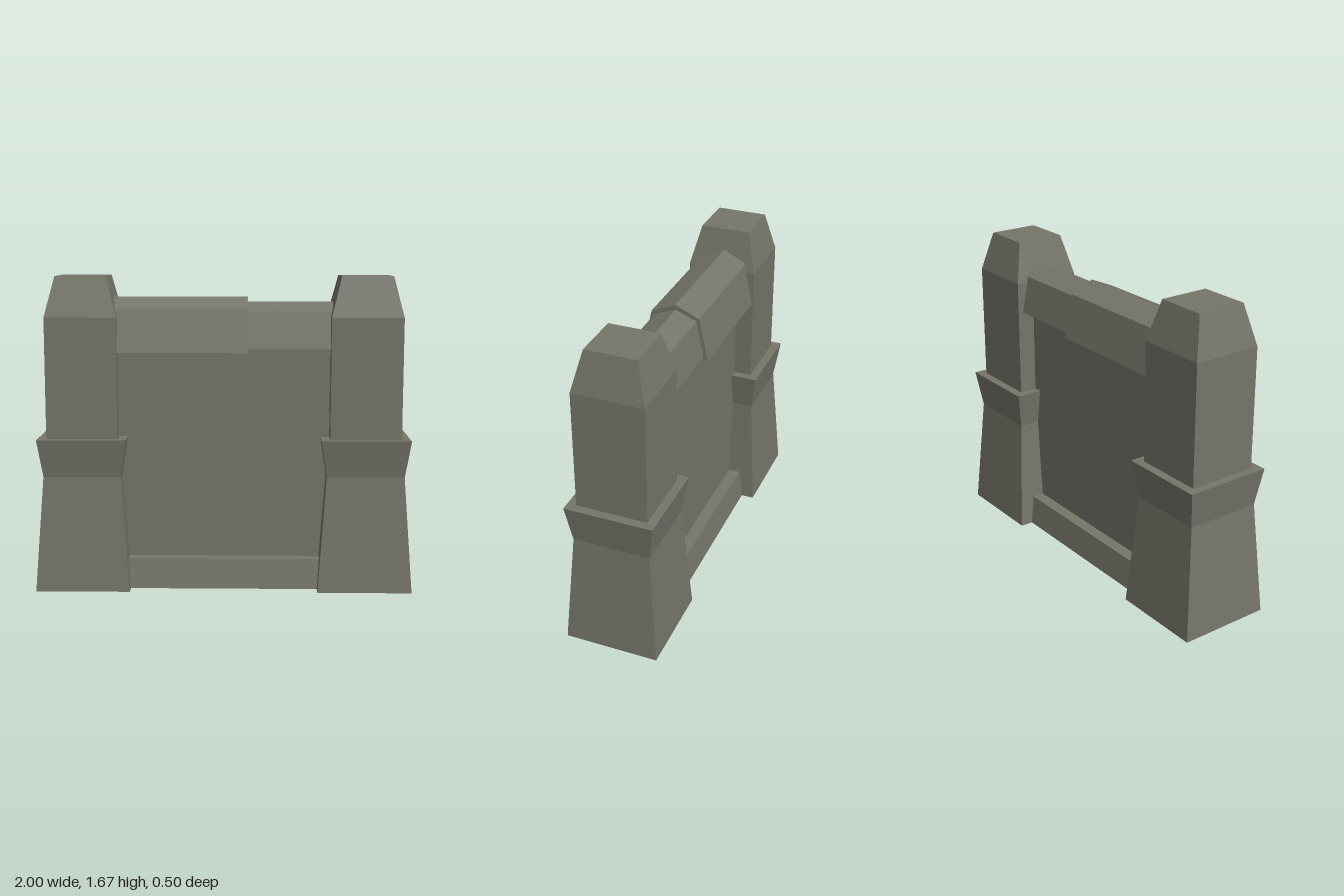
import * as THREE from 'three';

const stone = new THREE.MeshStandardMaterial({ color: 0x76756a, side: THREE.DoubleSide, flatShading: true });
stone.name = 'stone';

// Stack of rectangular rings [y, halfX, halfZ], closed at the top and open below
function taperedBlock(name, rings) {
  const pos = [], index = [];
  for (const [y, hx, hz] of rings) {
    pos.push(-hx, y, hz, hx, y, hz, hx, y, -hz, -hx, y, -hz);
  }
  for (let r = 0; r < rings.length - 1; r++) {
    for (let i = 0; i < 4; i++) {
      const a = r * 4 + i, b = r * 4 + (i + 1) % 4;
      index.push(a, b, b + 4, a, b + 4, a + 4);
    }
  }
  const t = (rings.length - 1) * 4;
  index.push(t, t + 1, t + 2, t, t + 2, t + 3);
  const indexed = new THREE.BufferGeometry();
  indexed.setAttribute('position', new THREE.Float32BufferAttribute(pos, 3));
  indexed.setIndex(index);
  const geo = indexed.toNonIndexed();
  geo.computeVertexNormals();
  const mesh = new THREE.Mesh(geo, stone);
  mesh.name = name;
  return mesh;
}

// Ridged coping stone running along x
function coping(name, x0, x1, z, bottom, shoulder, ridge, wide, narrow) {
  const shape = new THREE.Shape([
    [-wide, bottom], [wide, bottom], [narrow, shoulder], [0, ridge], [-narrow, shoulder],
  ].map(([a, b]) => new THREE.Vector2(a, b)));
  const geo = new THREE.ExtrudeGeometry(shape, { depth: x1 - x0, bevelEnabled: false });
  geo.rotateY(Math.PI / 2);
  geo.translate(x0, 0, z);
  const mesh = new THREE.Mesh(geo, stone);
  mesh.name = name;
  return mesh;
}

export function createModel() {
  const model = new THREE.Group();
  model.name = 'stoneWall';

  // Two end pillars: flared foot and chamfered shaft
  for (const [name, s] of [['leftPillar', 1], ['rightPillar', -1]]) {
    const pillar = new THREE.Group();
    pillar.name = name;
    pillar.add(
      taperedBlock('pillarFoot', [[0, 0.25, 0.25], [0.615, 0.205, 0.205], [0.815, 0.235, 0.235]]),
      taperedBlock('pillarShaft', [[0.7, 0.188, 0.188], [1.455, 0.188, 0.188], [1.668, 0.135, 0.135]]),
    );
    pillar.position.x = 0.75 * s;
    model.add(pillar);
  }

  // Wall panel
  const panel = new THREE.Mesh(new THREE.BoxGeometry(1.2, 1.34, 0.18), stone);
  panel.name = 'wallPanel';
  panel.position.y = 0.77;
  model.add(panel);

  // Plinth along the bottom
  model.add(taperedBlock('plinth', [[0, 0.56, 0.18], [0.16, 0.56, 0.155]]));

  // Coping stones of two sizes
  model.add(
    coping('largeCoping', -0.59, 0.125, -0.004, 1.27, 1.5, 1.557, 0.178, 0.13),
    coping('smallCoping', 0.12, 0.58, -0.006, 1.288, 1.485, 1.53, 0.153, 0.113),
  );
  return model;
}
